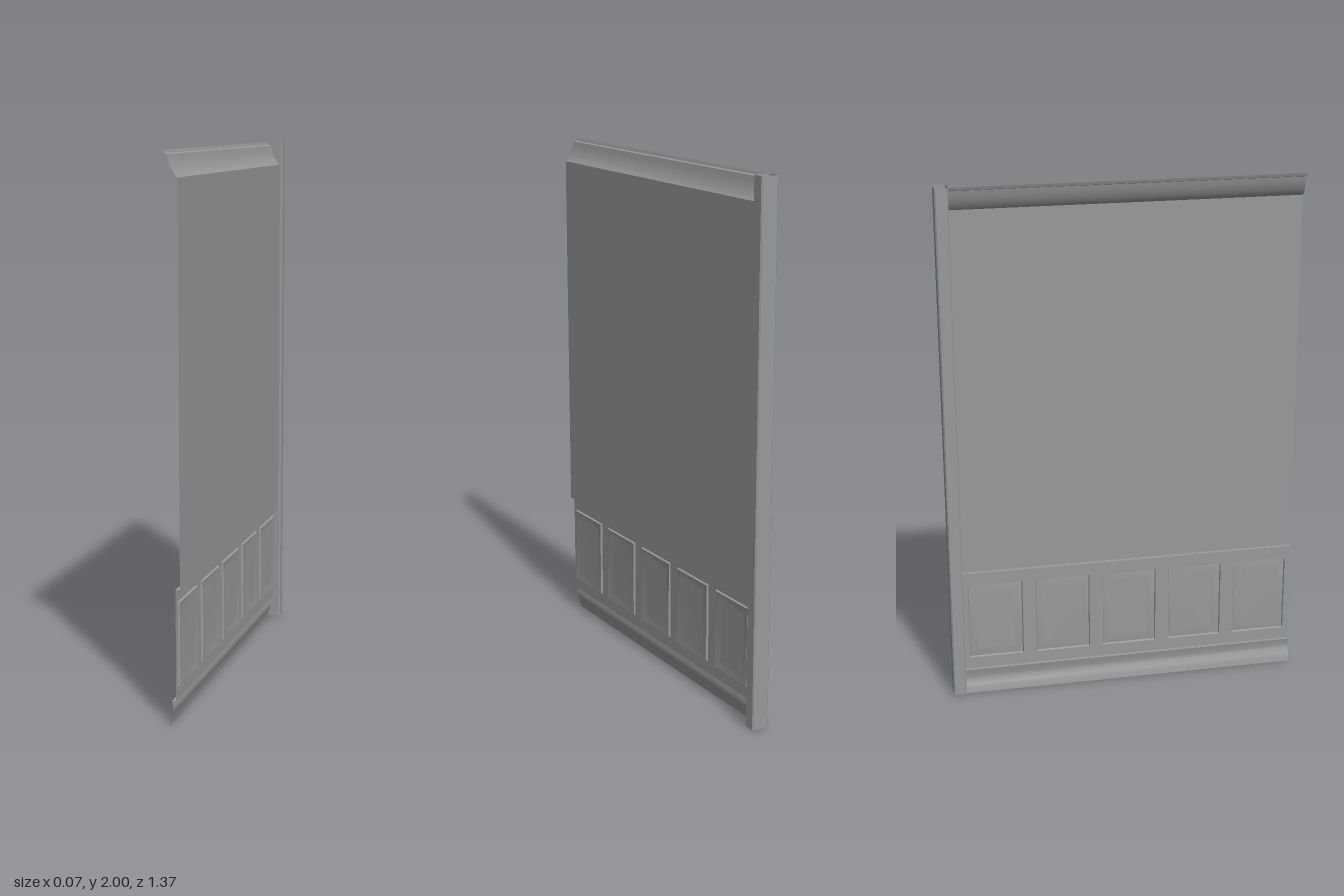
import * as THREE from 'three';
import { toCreasedNormals } from 'three/addons/utils/BufferGeometryUtils.js';

const BACK = -0.638, FRONT = 0.683;    // run of the wall along z
const WALL_X = 0.023, FRAME_X = 0.007; // planes of the wall and the wainscot

const material = new THREE.MeshStandardMaterial({
  color: 0x999999, side: THREE.DoubleSide,
});

// Skin between rows of points [x, y, z]; closed joins each row's end to its start
function loft(rows, closed = false) {
  const n = rows[0].length, index = [];
  for (let i = 0; i < rows.length - 1; i++) {
    for (let j = 0; j < (closed ? n : n - 1); j++) {
      const a = i * n + j, b = i * n + (j + 1) % n;
      index.push(a, b, b + n, a, b + n, a + n);
    }
  }
  const g = new THREE.BufferGeometry();
  g.setAttribute('position', new THREE.Float32BufferAttribute(rows.flat(2), 3));
  g.setIndex(index);
  return toCreasedNormals(g, 0.5);
}

// Run an [x, y] profile along the length of the wall
const sweep = (profile) =>
  loft(profile.map(([x, y]) => [[x, y, BACK], [x, y, FRONT]]));

// Rectangle in the wall's plane, shrunk by an inset
const rectangle = (x, z0, z1, y0, y1, inset = 0) => [
  [x, y0 + inset, z0 + inset], [x, y0 + inset, z1 - inset],
  [x, y1 - inset, z1 - inset], [x, y1 - inset, z0 + inset],
];

export function createModel() {
  const group = new THREE.Group();
  const add = (name, geometry) => {
    const mesh = new THREE.Mesh(geometry, material);
    mesh.name = name;
    group.add(mesh);
  };

  // Plain upper wall and the ledge on top of the wainscot
  add('wall', sweep([[WALL_X, 0.5], [WALL_X, 1.91]]));
  add('wainscotLedge', sweep([[FRAME_X, 0.5], [WALL_X, 0.5]]));

  // Crown moulding
  add('crownMoulding', sweep([
    [WALL_X, 1.91], [0.012, 1.921], [0.003, 1.936], [-0.005, 1.953],
    [-0.01, 1.969], [-0.014, 1.986], [-0.023, 1.989], [-0.027, 2],
  ]));

  // Baseboard with a lip, a shallow hollow and a flared foot
  add('baseboard', sweep([
    [-0.018, 0], [-0.015, 0.018], [-0.011, 0.034], [-0.003, 0.054],
    [-0.003, 0.066], [-0.005, 0.08], [-0.008, 0.095], [FRAME_X, 0.095],
  ]));

  // Wainscot frame with five openings, each filled with a fielded panel
  const frame = new THREE.Shape([
    new THREE.Vector2(BACK, 0.095), new THREE.Vector2(FRONT, 0.095),
    new THREE.Vector2(FRONT, 0.5), new THREE.Vector2(BACK, 0.5),
  ]);
  const y0 = 0.142, y1 = 0.45, width = 0.212, pitch = 0.2646;
  for (let i = 0; i < 5; i++) {
    const z1 = 0.66 - i * pitch, z0 = z1 - width;
    const ring = (x, inset) => rectangle(x, z0, z1, y0, y1, inset);
    const edge = ring(FRAME_X, 0);
    frame.holes.push(new THREE.Path(edge.map(([, y, z]) => new THREE.Vector2(z, y))));
    add('panel' + (i + 1), loft([
      edge, ring(0.014, 0.003), ring(0.01, 0.03), ring(0.01, 0.036),
      Array(4).fill([0.01, (y0 + y1) / 2, (z0 + z1) / 2]),
    ], true));
  }
  const frameGeometry = new THREE.ShapeGeometry(frame);
  frameGeometry.rotateY(-Math.PI / 2).translate(FRAME_X, 0, 0);
  add('wainscotFrame', frameGeometry);

  // Hollow end post with chamfered corners, open at top and bottom
  const w = 0.034, c = 0.005, z0 = -0.682, z1 = -0.632;
  const postRing = (y) => [
    [-w + c, z1], [w - c, z1], [w, z1 - c], [w, z0 + c],
    [w - c, z0], [-w + c, z0], [-w, z0 + c], [-w, z1 - c],
  ].map(([x, z]) => [x, y, z]);
  add('post', loft([postRing(0.006), postRing(2)], true));

  return group;
}
